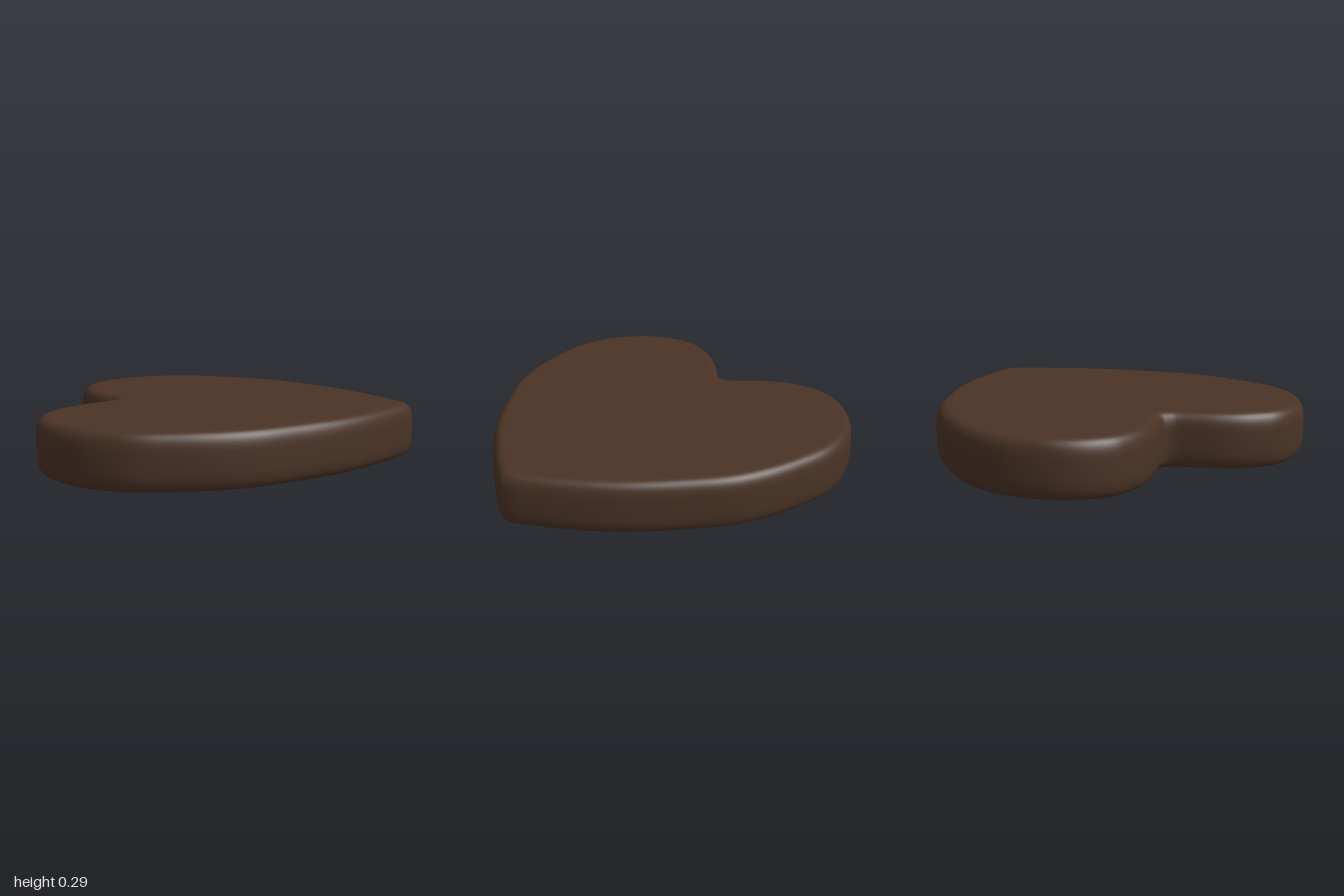
import * as THREE from 'three';

const HEIGHT = 0.295;
const EDGE = 0.075; // how far the flat faces sit inside the widest outline

// Half of the heart outline as [x, z], from the tip to the notch
const HALF = [
  [0.976, 0], [0.955, 0.06], [0.9, 0.15], [0.81, 0.28], [0.7, 0.42], [0.58, 0.545],
  [0.4, 0.695], [0.2, 0.84], [0.02, 0.92], [-0.18, 0.972], [-0.4, 1.0], [-0.58, 0.97],
  [-0.72, 0.905], [-0.87, 0.775], [-0.95, 0.64], [-0.979, 0.5], [-0.962, 0.4],
  [-0.925, 0.3], [-0.86, 0.2], [-0.775, 0.105], [-0.715, 0.04], [-0.695, 0],
];

function heartOutline() {
  const mirrored = HALF.slice(1, -1).reverse().map(([x, z]) => [x, -z]);
  const points = [...HALF, ...mirrored].map(([x, z]) => new THREE.Vector3(x, 0, z));
  return new THREE.CatmullRomCurve3(points, true, 'centripetal');
}

// Edge profile as [inset, y]: a rounded, slightly bulging side
function edgeProfile(steps) {
  const profile = [];
  for (let i = 0; i <= steps; i++) {
    const a = -Math.PI / 2 + (Math.PI * i) / steps;
    const out = Math.pow(Math.abs(Math.cos(a)), 0.75);
    const up = Math.sign(Math.sin(a)) * Math.pow(Math.abs(Math.sin(a)), 0.55);
    profile.push([EDGE * (1 - out), (HEIGHT / 2) * (1 + up)]);
  }
  // Narrow flat rims keep the shading of both faces level
  return [[EDGE + 0.006, 0], ...profile, [EDGE + 0.006, HEIGHT]];
}

function heartGeometry(around = 240) {
  const curve = heartOutline();
  const positions = [], indices = [];
  const rings = [[null, 0], ...edgeProfile(20), [null, HEIGHT]];

  for (const [inset, y] of rings) {
    for (let i = 0; i < around; i++) {
      if (inset === null) { // centre of a flat face
        positions.push(0, y, 0);
        continue;
      }
      const p = curve.getPointAt(i / around);
      const t = curve.getTangentAt(i / around);
      let z = p.z + t.x * inset;
      if (z * p.z < 0) z = 0; // stop the inset crossing the axis at the tip
      positions.push(p.x - t.z * inset, y, z);
    }
  }
  for (let r = 0; r < rings.length - 1; r++) {
    for (let i = 0; i < around; i++) {
      const j = (i + 1) % around;
      const a = r * around + i, b = r * around + j;
      const c = a + around, d = b + around;
      if (r > 0) indices.push(a, d, b);
      if (r < rings.length - 2) indices.push(a, c, d);
    }
    // Bottom fan runs from the centre outwards
    if (r === 0) {
      for (let i = 0; i < around; i++) indices.push(i, around + i, around + ((i + 1) % around));
    }
  }
  // The first ring's own quads are replaced by the fan above
  indices.splice(0, around * 3);

  const geometry = new THREE.BufferGeometry();
  geometry.setAttribute('position', new THREE.Float32BufferAttribute(positions, 3));
  geometry.setIndex(indices);
  geometry.computeVertexNormals();
  return geometry;
}

export function createModel() {
  const group = new THREE.Group();
  group.name = 'heartPiece';
  const body = new THREE.Mesh(
    heartGeometry(),
    new THREE.MeshStandardMaterial({ color: 0x4a3325 })
  );
  body.name = 'heartBody';
  group.add(body);
  return group;
}
